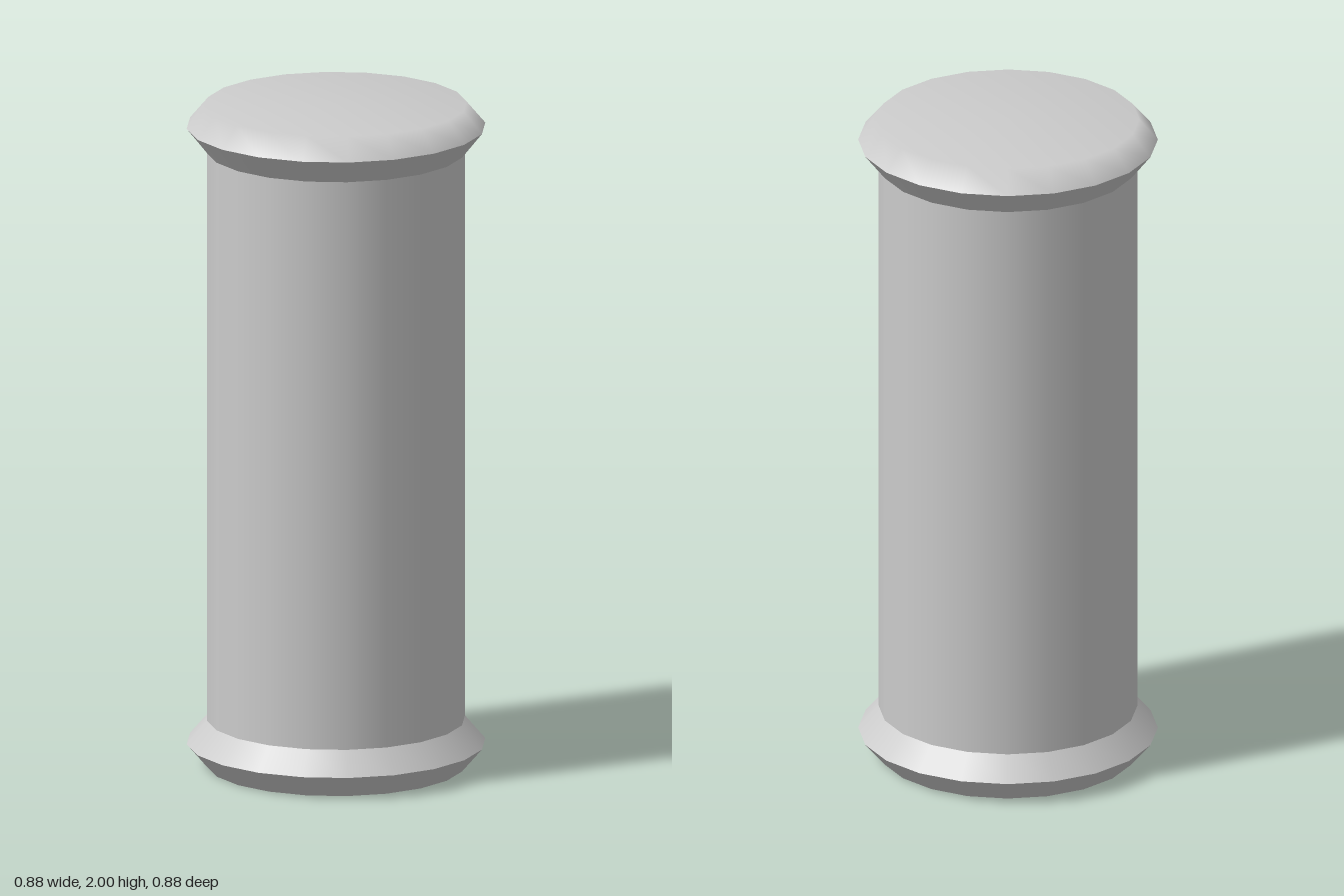
import * as THREE from 'three';

const SIDES = 20;
const BODY_R = 0.38;
const RIM_R = 0.44;

export function createModel() {
  const group = new THREE.Group();
  const material = new THREE.MeshStandardMaterial({ color: 0xcccccc, side: THREE.DoubleSide });

  // Revolves a [radius, height] profile, listed from bottom to top; smooth within one part
  function addRevolved(name, profile) {
    const points = profile.map(([r, y]) => new THREE.Vector2(r, y));
    const mesh = new THREE.Mesh(new THREE.LatheGeometry(points, SIDES), material);
    mesh.name = name;
    group.add(mesh);
  }

  // Bottom flange, open underneath
  addRevolved('bottomFlangeLower', [[BODY_R, 0], [RIM_R, 0.07]]);
  addRevolved('bottomFlangeUpper', [[RIM_R, 0.07], [BODY_R, 0.14]]);

  // Straight hollow tube
  addRevolved('tube', [[BODY_R, 0.14], [BODY_R, 1.86]]);

  // Top flange, closed by a cap that shades softly into its bevel
  addRevolved('topFlangeLower', [[BODY_R, 1.86], [RIM_R, 1.935]]);
  addRevolved('topCap', [[RIM_R, 1.935], [0.385, 2], [0, 2]]);

  return group;
}
